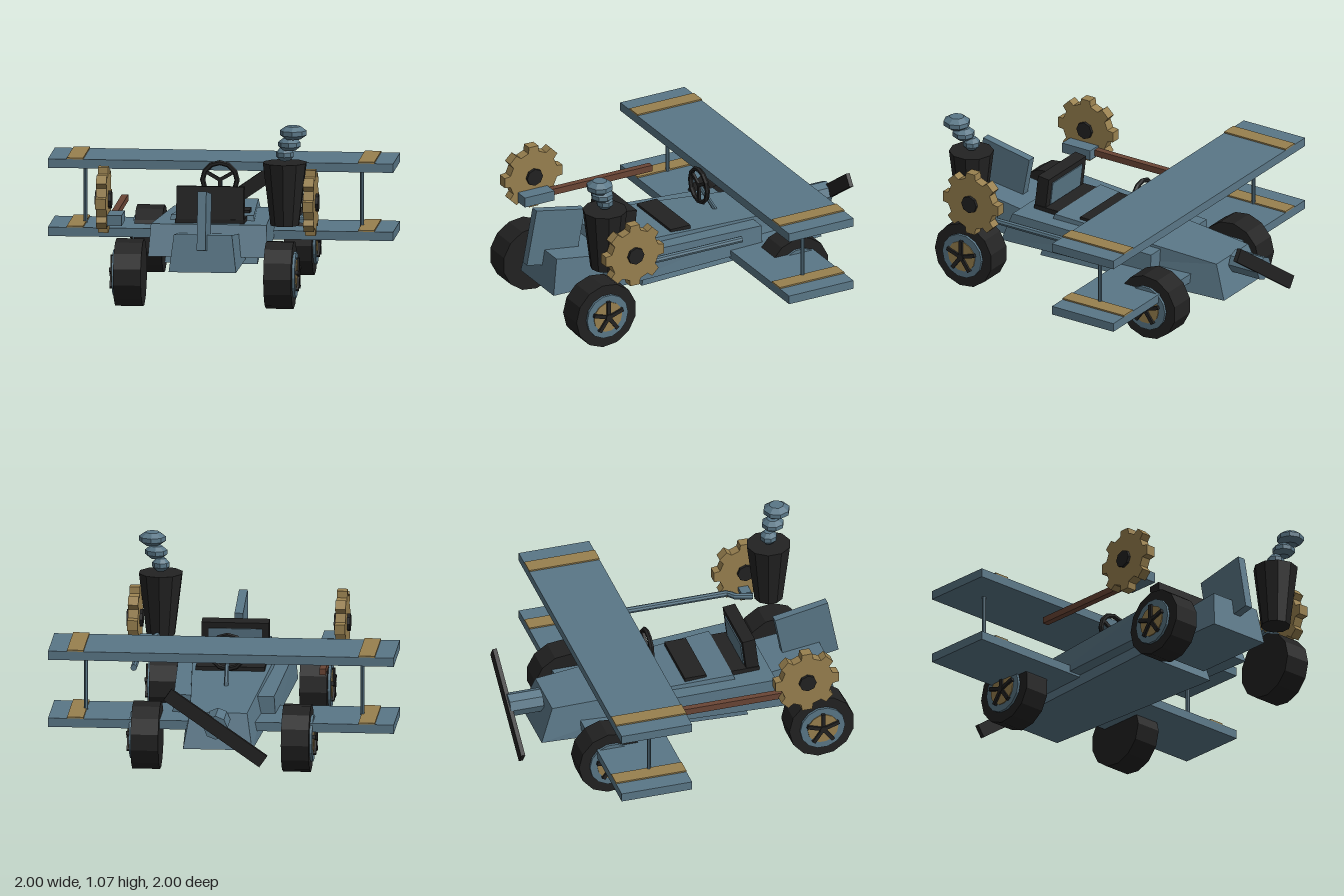
import * as THREE from 'three';

const mat = (name, color) => Object.assign(new THREE.MeshStandardMaterial({ color }), { name });

// Facet every face
function flat(g) {
  const f = g.index ? g.toNonIndexed() : g;
  f.computeVertexNormals();
  return f;
}

// Six-sided block between two end sections { zb, zt, yb, yt, wb, wt } (b = bottom, t = top, w = half width)
function taperedBlock(back, front) {
  const g = new THREE.BoxGeometry(2, 2, 2);
  const p = g.attributes.position;
  for (let i = 0; i < p.count; i++) {
    const s = p.getZ(i) < 0 ? back : front;
    const top = p.getY(i) > 0;
    p.setXYZ(i, p.getX(i) * (top ? s.wt : s.wb), top ? s.yt : s.yb, top ? s.zt : s.zb);
  }
  return g;
}

function gearShape(teeth, rootR, tipR) {
  const shape = new THREE.Shape();
  const step = (Math.PI * 2) / teeth;
  for (let i = 0; i < teeth; i++) {
    [[-0.29, rootR], [-0.2, tipR], [0.2, tipR], [0.29, rootR]].forEach(([o, r], k) => {
      const a = (i + o) * step;
      const x = Math.cos(a) * r, y = Math.sin(a) * r;
      if (i === 0 && k === 0) shape.moveTo(x, y);
      else shape.lineTo(x, y);
    });
  }
  shape.closePath();
  return shape;
}

export function createModel() {
  const blue = mat('steel blue', 0x5a7787);
  const black = mat('black', 0x222222);
  const tan = mat('tan', 0x98804f);
  const brown = mat('brown', 0x6a4535);

  const model = new THREE.Group();
  model.name = 'wingedCar';
  const add = (name, geo, material, x = 0, y = 0, z = 0, parent = model) => {
    const m = new THREE.Mesh(flat(geo), material);
    m.name = name;
    m.position.set(x, y, z);
    parent.add(m);
    return m;
  };
  const box = (name, material, w, h, d, x, y, z, parent) =>
    add(name, new THREE.BoxGeometry(w, h, d), material, x, y, z, parent);
  // Cylinder lying along x
  const discX = (name, material, r, x0, x1, sides, parent) =>
    add(name, new THREE.CylinderGeometry(r, r, x1 - x0, sides).rotateZ(-Math.PI / 2), material, (x0 + x1) / 2, 0, 0, parent);

  // Body
  add('hull', taperedBlock(
    { zb: -0.845, zt: -0.77, yb: 0.2, yt: 0.4, wb: 0.2, wt: 0.165 },
    { zb: 0.38, zt: 0.3, yb: 0.2, yt: 0.47, wb: 0.27, wt: 0.24 }), blue);
  add('sidePods', taperedBlock(
    { zb: -0.4, zt: -0.4, yb: 0.27, yt: 0.41, wb: 0.3, wt: 0.29 },
    { zb: 0.6, zt: 0.53, yb: 0.27, yt: 0.45, wb: 0.345, wt: 0.335 }), blue);
  add('tail', taperedBlock(
    { zb: 0.4, zt: 0.4, yb: 0.23, yt: 0.38, wb: 0.2, wt: 0.18 },
    { zb: 0.92, zt: 0.885, yb: 0.23, yt: 0.445, wb: 0.195, wt: 0.168 }), blue);
  box('fin', blue, 0.05, 0.34, 0.325, 0, 0.508, 0.81).rotation.x = -0.19;

  // Seat
  box('dashCushion', black, 0.4, 0.06, 0.13, 0, 0.445, 0.085);
  box('seatBase', black, 0.4, 0.07, 0.17, 0, 0.435, 0.385);
  const seat = new THREE.Group();
  seat.name = 'seatBack';
  seat.position.set(0, 0.55, 0.42);
  seat.rotation.x = -0.12;
  model.add(seat);
  box('backrest', black, 0.39, 0.21, 0.075, 0, 0, 0, seat);
  box('backrestPanel', blue, 0.31, 0.14, 0.008, 0, 0, -0.04, seat);

  // Steering wheel and column
  const steering = new THREE.Group();
  steering.name = 'steeringWheel';
  steering.position.set(0, 0.605, -0.148);
  model.add(steering);
  add('rim', new THREE.TorusGeometry(0.1, 0.015, 6, 12), black, 0, 0, 0, steering);
  for (let i = 0; i < 3; i++) {
    const a = Math.PI / 6 + (i * Math.PI * 2) / 3;
    box('spoke', black, 0.1, 0.02, 0.015, Math.cos(a) * 0.05, Math.sin(a) * 0.05, 0, steering).rotation.z = a;
  }
  const column = new THREE.LineCurve3(new THREE.Vector3(0, 0.605, -0.15), new THREE.Vector3(0, 0.4, -0.27));
  add('steeringColumn', new THREE.TubeGeometry(column, 1, 0.013, 6), blue);

  // Wings, stripes and struts
  for (const [name, y] of [['upperWing', 0.68], ['lowerWing', 0.282]]) {
    box(name, blue, 2, 0.052, 0.425, 0, y, -0.398);
    for (const s of [-1, 1]) box(name + 'Stripe', tan, 0.095, 0.009, 0.425, s * 0.843, y + 0.03, -0.398);
  }
  for (const s of [-1, 1])
    add('strut', new THREE.CylinderGeometry(0.012, 0.012, 0.36, 8), blue, s * 0.8, 0.48, -0.385);

  // Wheels
  for (const s of [-1, 1]) for (const z of [0.75, -0.52]) {
    const wheel = new THREE.Group();
    wheel.name = z > 0 ? 'tailWheel' : 'noseWheel';
    wheel.position.set(0, 0.198, z);
    model.add(wheel);
    const side = new THREE.Group();
    side.name = 'wheelParts';
    side.rotation.y = s > 0 ? 0 : Math.PI;
    wheel.add(side);
    discX('tyre', black, 0.197, 0.355, 0.515, 13, side);
    discX('rim', blue, 0.135, 0.5, 0.53, 14, side);
    discX('hubDisc', tan, 0.092, 0.5, 0.536, 14, side);
    discX('hubCap', black, 0.022, 0.5, 0.552, 8, side);
    for (let i = 0; i < 5; i++) {
      const a = (i * Math.PI * 2) / 5;
      box('spoke', black, 0.022, 0.1, 0.022, 0.537, Math.cos(a) * 0.05, Math.sin(a) * 0.05, side).rotation.x = a;
    }
  }

  // Propeller
  add('propellerHub', new THREE.CylinderGeometry(0.07, 0.07, 0.2, 8).rotateX(Math.PI / 2), blue, 0, 0.365, -0.89);
  box('propellerBlade', black, 0.676, 0.08, 0.025, 0, 0.365, -0.9875).rotation.z = 0.61;

  // Side gears
  const gearGeo = new THREE.ExtrudeGeometry(gearShape(8, 0.157, 0.193), { depth: 0.06, bevelEnabled: false })
    .translate(0, 0, -0.03).rotateY(Math.PI / 2);
  for (const s of [-1, 1]) {
    const gear = new THREE.Group();
    gear.name = s > 0 ? 'leftGear' : 'rightGear';
    gear.position.set(s * 0.6, 0.603, 0.625);
    model.add(gear);
    add('toothedDisc', gearGeo, tan, 0, 0, 0, gear);
    discX('gearHub', black, 0.052, -0.047, 0.047, 8, gear);
  }

  // Smokestack with puffs
  add('smokestack', new THREE.CylinderGeometry(0.13, 0.085, 0.365, 10), black, 0.46, 0.668, 0.73);
  for (const [x, y, z, r, h] of [[0.46, 0.898, 0.73, 0.05, 0.037], [0.49, 0.963, 0.765, 0.065, 0.036], [0.515, 1.035, 0.795, 0.078, 0.038]]) {
    const profile = [[0, -h], [0.55 * r, -h], [r, -0.35 * h], [r, 0.35 * h], [0.55 * r, h], [0, h]];
    add('puff', new THREE.LatheGeometry(profile.map(([a, b]) => new THREE.Vector2(a, b)), 8), blue, x, y, z);
  }

  // Feed pipe on the left
  const path = new THREE.CurvePath();
  const pts = [[0.545, 0.495, -0.125], [0.545, 0.495, 0.51], [0.5, 0.495, 0.545], [0.475, 0.495, 0.64]]
    .map(p => new THREE.Vector3(...p));
  for (let i = 0; i < 3; i++) path.add(new THREE.LineCurve3(pts[i], pts[i + 1]));
  add('feedPipe', new THREE.TubeGeometry(path, 24, 0.019, 8), blue);
  add('pipeEnd', new THREE.CircleGeometry(0.019, 8).rotateY(Math.PI), blue, 0.545, 0.495, -0.125);
  box('gearBracket', blue, 0.12, 0.025, 0.06, 0.56, 0.495, 0.61);

  // Lever on the right
  box('leverRod', brown, 0.038, 0.038, 0.68, -0.548, 0.495, 0.205);
  box('leverBlock', blue, 0.085, 0.06, 0.195, -0.528, 0.495, 0.633);

  return model;
}
